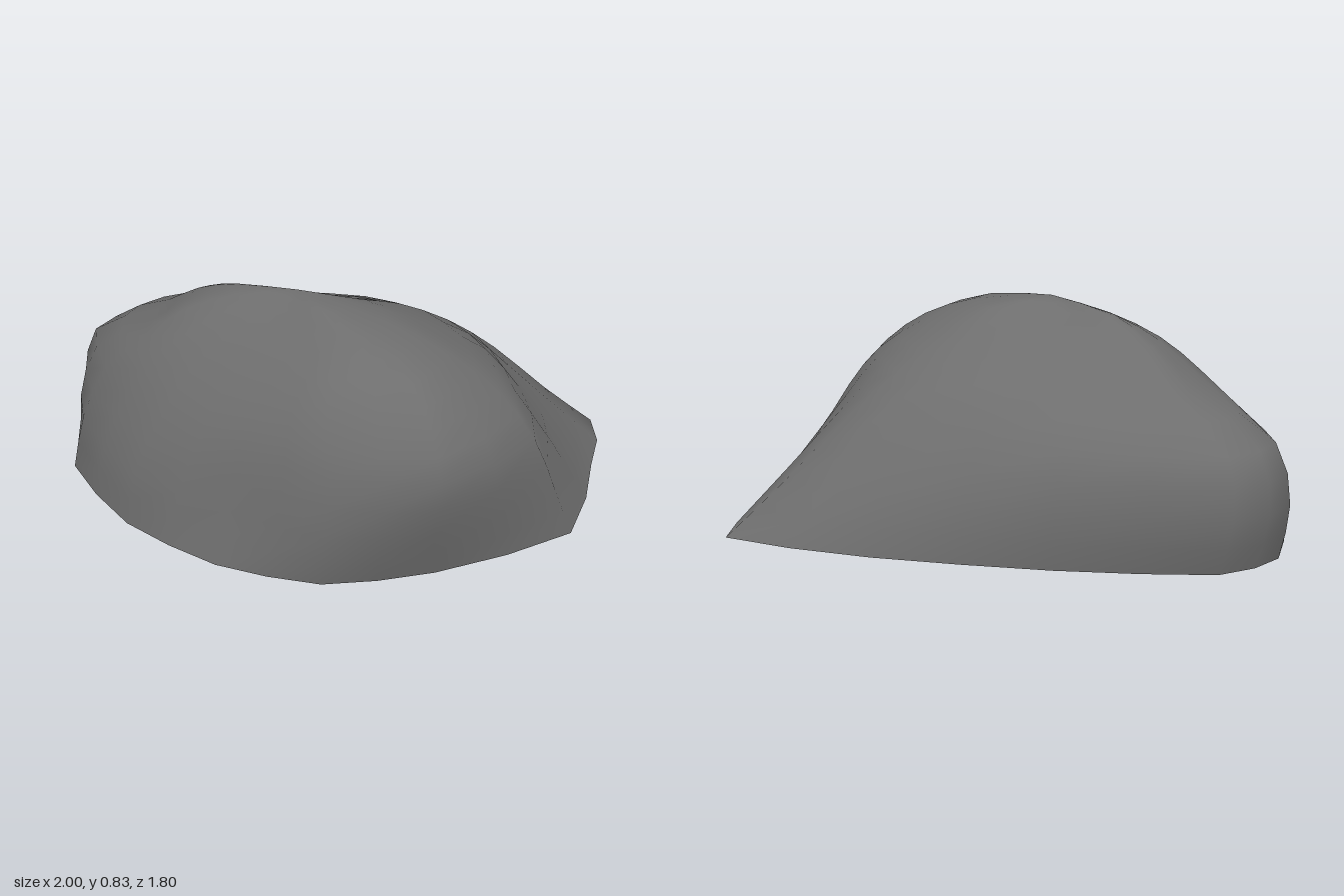
import * as THREE from 'three';

// Horizontal outlines [x, z, ...], counterclockwise from the pointed tip.
const base = [1, .13, .56, -.26, 0, -.61, -.52, -.85, -.8, -.78, -1, -.45, -.95, .03, -.76, .42, -.48, .69, -.1, .8, .46, .8, .8, .43];
const low = [.77, .12, .51, -.22, 0, -.62, -.54, -.9, -.83, -.79, -.95, -.45, -.91, .03, -.7, .41, -.48, .72, -.14, .86, .38, .8, .64, .43];
const middle = [.54, .1, .39, -.13, -.05, -.58, -.54, -.85, -.79, -.74, -.86, -.4, -.79, .04, -.64, .41, -.45, .71, -.14, .9, .29, .79, .45, .43];
const shoulder = [.33, .1, .18, -.17, -.12, -.4, -.47, -.57, -.61, -.48, -.74, -.27, -.66, .03, -.55, .38, -.43, .63, -.14, .83, .2, .68, .33, .38];
const upper = [.11, .12, -.01, -.01, -.2, -.14, -.45, -.34, -.53, -.31, -.61, -.18, -.51, .07, -.43, .35, -.36, .56, -.15, .71, .07, .57, .13, .34];
const crown = [-.07, .19, -.18, .11, -.31, .01, -.42, -.14, -.45, -.13, -.46, -.05, -.37, .1, -.32, .28, -.27, .42, -.18, .48, -.08, .4, -.05, .28];
const outlines = [[base, 0], [low, .2], [middle, .42], [shoulder, .58], [upper, .7], [crown, .78]];

const SIDES = 24, ROWS = 12;

// Closed loop through one outline, taut enough to keep the tip pointed
function loopPoints([outline, y]) {
  const points = [];
  for (let i = 0; i < outline.length; i += 2) points.push(new THREE.Vector3(outline[i], y, outline[i + 1]));
  const curve = new THREE.CatmullRomCurve3(points, true, 'catmullrom', .3);
  return Array.from({ length: SIDES }, (_, i) => curve.getPoint(i / SIDES));
}

function meshFrom(name, points, index, material) {
  const geometry = new THREE.BufferGeometry().setFromPoints(points);
  geometry.setIndex(index);
  geometry.computeVertexNormals();
  const mesh = new THREE.Mesh(geometry, material);
  mesh.name = name;
  return mesh;
}

export function createModel() {
  const group = new THREE.Group();
  group.name = 'boulder';
  const stone = new THREE.MeshStandardMaterial({ color: 0x6e6e6e });
  stone.name = 'dark grey stone';

  // Rising curves join the outlines and meet at the summit
  const loops = outlines.map(loopPoints);
  const summit = new THREE.Vector3(-.29, .83, .11);
  const ribs = Array.from({ length: SIDES }, (_, i) =>
    new THREE.CatmullRomCurve3([...loops.map(loop => loop[i]), summit]));
  const points = [];
  for (let j = 0; j < ROWS; j++) for (const rib of ribs) points.push(rib.getPoint(j / ROWS));
  points.push(summit);

  const index = [];
  for (let j = 0; j < ROWS; j++) {
    for (let i = 0; i < SIDES; i++) {
      const a = j * SIDES + i, b = j * SIDES + (i + 1) % SIDES;
      if (j === ROWS - 1) index.push(a, b, ROWS * SIDES);
      else index.push(a, b, b + SIDES, a, b + SIDES, a + SIDES);
    }
  }
  group.add(meshFrom('rockBody', points, index, stone));

  // Flat underside
  const floor = [...loops[0], new THREE.Vector3(-.1, 0, 0)];
  const floorIndex = [];
  for (let i = 0; i < SIDES; i++) floorIndex.push((i + 1) % SIDES, i, SIDES);
  group.add(meshFrom('underside', floor, floorIndex, stone));
  return group;
}
